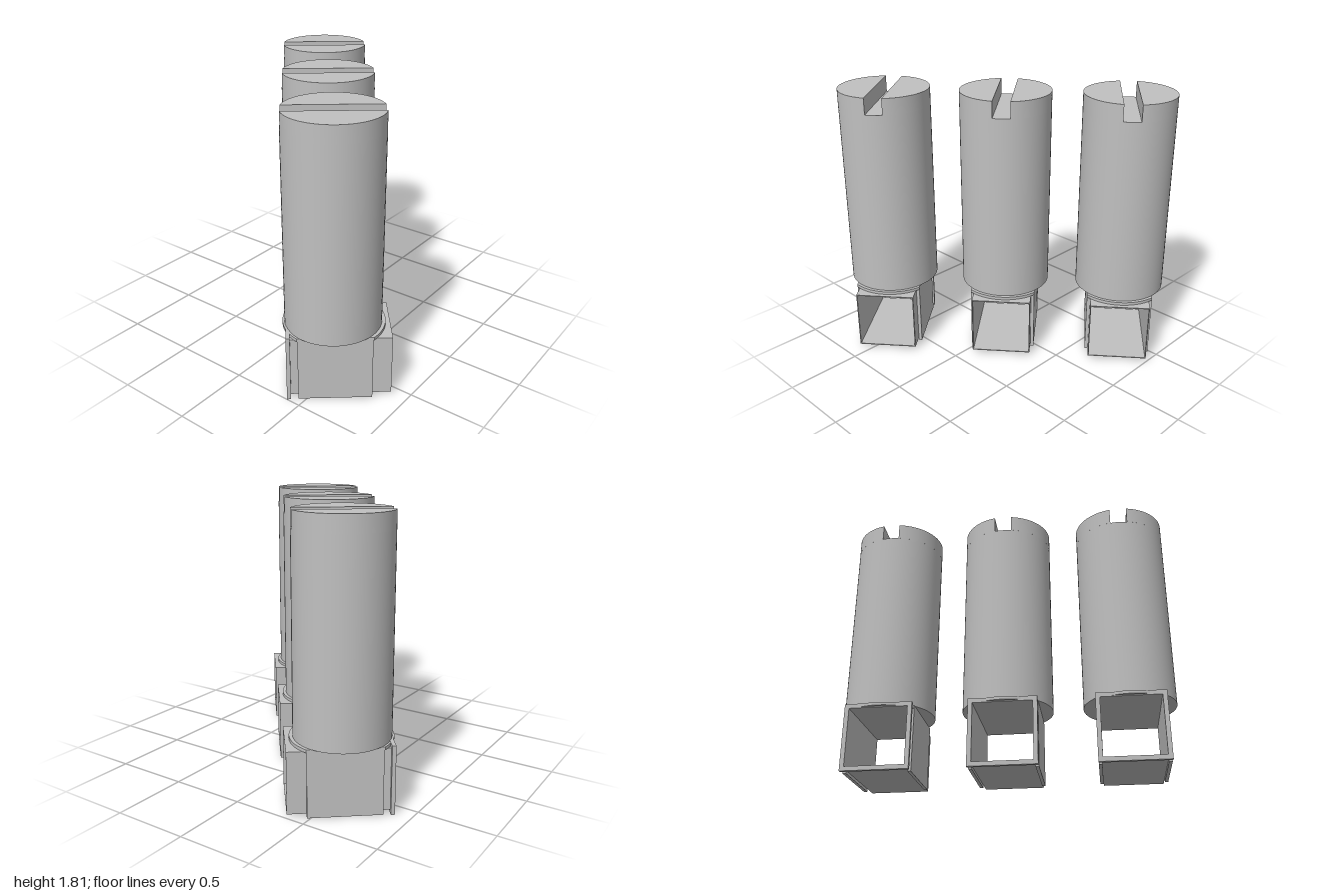
import * as THREE from 'three';
import { toCreasedNormals } from 'three/addons/utils/BufferGeometryUtils.js';

const RADIUS = 0.305, TOP = 1.81, SLOT_FLOOR = 1.70, NECK = 0.44;

// Square outline of half-size a with a square hole of half-size b
function squareFrame(a, b) {
  const square = (r, Type) => new Type([[-r, -r], [r, -r], [r, r], [-r, r]].map(p => new THREE.Vector2(...p)));
  const shape = square(a, THREE.Shape);
  shape.holes.push(square(b, THREE.Path));
  return shape;
}

const extrude = (shape, depth) => toCreasedNormals(
  new THREE.ExtrudeGeometry(shape, { depth, bevelEnabled: false, curveSegments: 32 }), 0.5);

// Upright extrusion starting at height y
const extrudeUp = (shape, depth, y) => extrude(shape, depth).rotateX(-Math.PI / 2).translate(0, y, 0);

export function createModel() {
  const metal = new THREE.MeshStandardMaterial({ color: 0xc0c0c0 });
  metal.name = 'greyMetal';
  const model = new THREE.Group();
  model.name = 'screwTerminals';

  // Half of the slotted screw head: a circle segment beside the slot
  const slot = Math.acos(0.057 / RADIUS);
  const segment = new THREE.Shape();
  segment.absarc(0, 0, RADIUS, -slot, slot, false);
  segment.closePath();

  // Round plate clipped flat on both sides
  const clip = 0.222, plateR = 0.322, a = Math.acos(clip / plateR);
  const clipped = new THREE.Shape();
  clipped.absarc(0, 0, plateR, a, Math.PI - a, false);
  clipped.absarc(0, 0, plateR, Math.PI + a, 2 * Math.PI - a, false);
  clipped.closePath();

  const geometries = {
    screwBody: new THREE.CylinderGeometry(RADIUS, RADIUS, SLOT_FLOOR - NECK, 64)
      .translate(0, (SLOT_FLOOR + NECK) / 2, 0),
    headHalfLeft: extrudeUp(segment, TOP - SLOT_FLOOR, SLOT_FLOOR),
    headHalfRight: extrudeUp(segment, TOP - SLOT_FLOOR, SLOT_FLOOR).rotateY(Math.PI),
    topPlate: extrudeUp(clipped, 0.02, 0.42).translate(0, 0, 0.005),
    clampTube: extrude(squareFrame(0.2, 0.194), 0.63).translate(0, 0.22, -0.275),
    rearRim: extrude(squareFrame(0.223, 0.194), 0.025).translate(0, 0.22, -0.295),
    sidePlateLeft: new THREE.BoxGeometry(0.022, 0.44, 0.46).translate(0.211, 0.22, 0.005),
    sidePlateRight: new THREE.BoxGeometry(0.022, 0.44, 0.46).translate(-0.211, 0.22, 0.005),
  };

  // Three identical terminals in a diagonal row
  [[-0.64, 0.495], [-0.012, -0.016], [0.616, -0.527]].forEach(([x, z], i) => {
    const terminal = new THREE.Group();
    terminal.name = 'terminal' + (i + 1);
    for (const [name, geometry] of Object.entries(geometries)) {
      const mesh = new THREE.Mesh(geometry, metal);
      mesh.name = name;
      terminal.add(mesh);
    }
    terminal.position.set(x, 0, z);
    terminal.rotation.y = 0.68;
    model.add(terminal);
  });
  return model;
}
